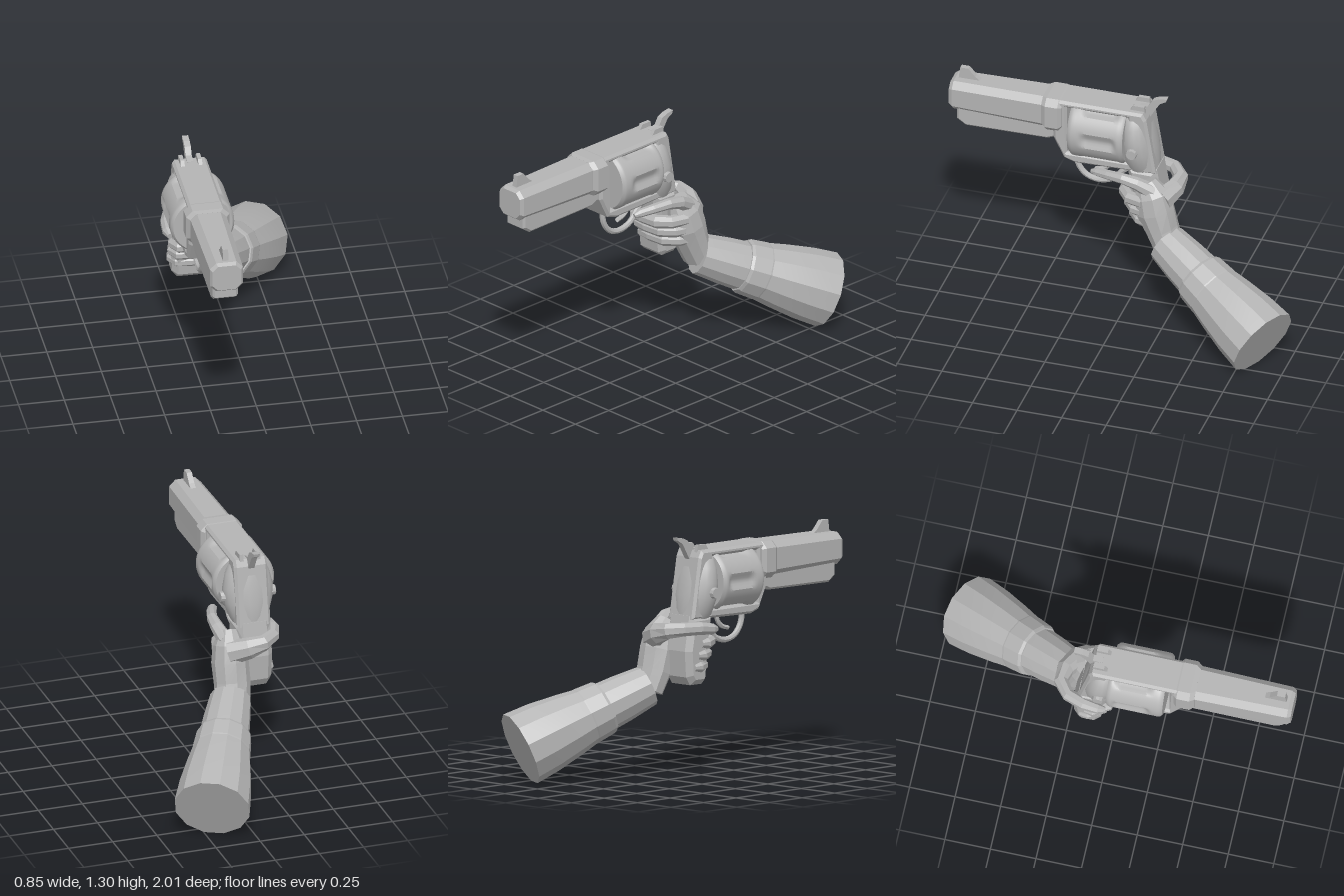
import * as THREE from 'three';
import { toCreasedNormals } from 'three/addons/utils/BufferGeometryUtils.js';

const GX = -0.255; // centre plane of the revolver
const grey = new THREE.MeshStandardMaterial({ color: 0xb4b4b4, side: THREE.DoubleSide });
grey.name = 'plain grey';

export function createModel() {
  const group = new THREE.Group();
  group.name = 'handWithRevolver';
  const V = (x, y, z) => new THREE.Vector3(x, y, z);

  function add(name, geo, crease = 0.1) {
    const mesh = new THREE.Mesh(toCreasedNormals(geo, crease), grey);
    mesh.name = name;
    group.add(mesh);
    return mesh;
  }

  // Skin a list of equal-sized rings and cap both ends
  function loft(rings) {
    const n = rings[0].length, last = (rings.length - 1) * n, idx = [];
    for (let i = 0; i < rings.length - 1; i++) {
      for (let j = 0; j < n; j++) {
        const a = i * n + j, b = i * n + (j + 1) % n;
        idx.push(a, b, b + n, a, b + n, a + n);
      }
    }
    for (let j = 1; j < n - 1; j++) idx.push(0, j + 1, j, last, last + j, last + j + 1);
    const geo = new THREE.BufferGeometry().setFromPoints(rings.flat());
    geo.setIndex(idx);
    return geo.toNonIndexed();
  }

  // Oval tube: rows of [x, y, z, half size along ref, half size across]
  function limb(rows, ref, sides = 8) {
    const c = rows.map(r => V(r[0], r[1], r[2]));
    return loft(rows.map((r, i) => {
      const t = c[Math.min(i + 1, c.length - 1)].clone().sub(c[Math.max(i - 1, 0)]).normalize();
      const s = ref.clone().addScaledVector(t, -ref.dot(t)).normalize();
      const u = t.clone().cross(s);
      return Array.from({ length: sides }, (_, j) => {
        const q = (j + 0.5) / sides * Math.PI * 2;
        return c[i].clone().addScaledVector(s, Math.cos(q) * r[3]).addScaledVector(u, Math.sin(q) * r[4]);
      });
    }));
  }

  // Side profile in (z, y), extruded across x with a small bevel
  function slab(profile, width, bevel = 0, hole = null, x = GX) {
    const pts = a => a.map(p => new THREE.Vector2(p[0], p[1]));
    const shape = new THREE.Shape(pts(profile));
    if (hole) shape.holes.push(new THREE.Path(pts(hole)));
    const depth = width - 2 * bevel;
    const geo = new THREE.ExtrudeGeometry(shape, {
      depth, bevelEnabled: bevel > 0, bevelSize: bevel, bevelThickness: bevel, bevelOffset: -bevel, bevelSegments: 1,
    });
    return geo.translate(0, 0, -depth / 2).rotateY(-Math.PI / 2).translate(x, 0, 0);
  }

  // Chamfered bar along z: rows of [z, half width, bottom, top, chamfer]
  const bar = rows => loft(rows.map(([z, w, b, t, c]) => [
    [w, b + c], [w, t - c], [w - c, t], [c - w, t], [-w, t - c], [-w, b + c], [c - w, b], [w - c, b],
  ].map(([x, y]) => V(GX + x, y, z))));

  // Barrel, collar and underlug
  add('barrel', bar([[0.4, 0.1, 1.045, 1.235, 0.035], [0.98, 0.09, 1.055, 1.23, 0.035], [1, 0.078, 1.07, 1.218, 0.03]]));
  add('barrelCollar', bar([[0.36, 0.1, 1.05, 1.235, 0.035], [0.38, 0.118, 1.04, 1.24, 0.035],
    [0.45, 0.118, 1.04, 1.24, 0.035], [0.475, 0.1, 1.05, 1.235, 0.035]]));
  add('underlug', slab([[0.38, 1.08], [0.38, 1.0], [0.45, 0.97], [0.91, 0.965], [0.96, 1.0], [0.96, 1.08]], 0.14, 0.012));
  add('frontSight', slab([[0.83, 1.22], [0.87, 1.25], [0.91, 1.295], [0.955, 1.295], [0.965, 1.22]], 0.03));

  // Frame with the opening for the cylinder
  add('frame', slab(
    [[0.41, 1.238], [-0.09, 1.238], [-0.11, 1.2], [-0.165, 0.87], [0.29, 0.86], [0.35, 0.88], [0.41, 1.0]],
    0.19, 0.014, [[0.335, 0.92], [0.335, 1.2], [-0.005, 1.2], [-0.005, 0.92]]));
  add('recoilShield', limb([
    [GX, 0.85, -0.085, 0.08, 0.08], [GX, 0.9, -0.07, 0.11, 0.095], [GX, 0.98, -0.055, 0.135, 0.1],
    [GX, 1.06, -0.045, 0.14, 0.095], [GX, 1.14, -0.035, 0.122, 0.085], [GX, 1.2, -0.03, 0.09, 0.07], [GX, 1.225, -0.03, 0.05, 0.05],
  ], V(1, 0, 0), 20), 0.7);

  // Fluted cylinder: six scoops pressed in towards the rear end
  const drum = new THREE.CylinderGeometry(0.175, 0.175, 0.31, 72, 24).rotateX(Math.PI / 2);
  const p = drum.attributes.position;
  for (let i = 0; i < p.count; i++) {
    const x = p.getX(i), y = p.getY(i), z = p.getZ(i);
    const r = Math.hypot(x, y);
    if (r < 0.1) continue;
    const scoop = Math.max(0, Math.cos(Math.atan2(y, x) * 6) - 0.1) / 0.9;
    const along = THREE.MathUtils.smoothstep(z, -0.13, -0.09) * (1 - THREE.MathUtils.smoothstep(z, 0.05, 0.1));
    const edge = Math.max(0, Math.abs(z) - 0.14) * 0.9;
    const k = (r - 0.022 * scoop * along - edge) / r;
    p.setXY(i, x * k, y * k);
  }
  add('cylinder', drum.translate(GX, 1.06, 0.157), 0.6);

  // Rear sights, hammer and side screws
  for (const s of [-1, 1]) {
    add('rearSight', slab([[0.0, 1.22], [-0.03, 1.265], [-0.09, 1.265], [-0.1, 1.2]], 0.022, 0, null, GX + s * 0.048));
    add('sideScrew', new THREE.CylinderGeometry(0.028, 0.032, 0.03, 10).rotateZ(-s * Math.PI / 2)
      .translate(GX + s * 0.14, 1.01, -0.045));
  }
  add('hammer', slab([[-0.04, 1.18], [-0.05, 1.24], [-0.1, 1.25], [-0.125, 1.29], [-0.16, 1.305], [-0.205, 1.312],
    [-0.2, 1.295], [-0.165, 1.275], [-0.14, 1.235], [-0.12, 1.2], [-0.1, 1.17]], 0.034));

  // Trigger guard and trigger
  const path = pts => new THREE.CatmullRomCurve3(pts.map(([z, y]) => V(GX, y, z)));
  add('triggerGuard', new THREE.TubeGeometry(path([[0.305, 0.88], [0.3, 0.81], [0.255, 0.745], [0.18, 0.722],
    [0.1, 0.745], [0.05, 0.8], [0.0, 0.84]]), 20, 0.016, 8), 0.7);
  add('trigger', new THREE.TubeGeometry(path([[0.11, 0.88], [0.12, 0.83], [0.15, 0.8], [0.2, 0.785]]), 8, 0.013, 6), 0.7);

  // Grip
  add('grip', slab([[0.0, 0.89], [-0.02, 0.75], [-0.045, 0.54], [-0.07, 0.515], [-0.16, 0.515], [-0.19, 0.56],
    [-0.2, 0.7], [-0.165, 0.89]], 0.195, 0.03));

  // Palm and back of the hand
  add('palm', limb([
    [-0.1, 0.48, -0.26, 0.095, 0.08], [-0.11, 0.58, -0.22, 0.1, 0.09], [-0.11, 0.69, -0.18, 0.1, 0.108],
    [-0.11, 0.78, -0.16, 0.085, 0.1], [-0.12, 0.85, -0.125, 0.05, 0.06],
  ], V(1, 0, 0), 10));

  // Three fingers wrapped round the front of the grip
  const up = V(0, 1, 0);
  for (let i = 0; i < 3; i++) {
    const y = 0.745 - i * 0.062, z = -i * 0.028, r = 0.036 - i * 0.001;
    add('wrappedFinger', limb([
      [-0.06, y + 0.01, z - 0.13, r, r], [-0.085, y + 0.008, z - 0.045, r, r], [-0.15, y + 0.004, z + 0.002, r, r],
      [-0.25, y, z + 0.006, r * 0.93, r * 0.93], [-0.325, y - 0.006, z - 0.008, r * 0.93, r * 0.9],
      [-0.352, y - 0.01, z - 0.06, r * 0.85, r * 0.75], [-0.352, y - 0.01, z - 0.1, r * 0.5, r * 0.4],
    ], up));
  }

  // Index finger laid along the frame
  add('indexFinger', limb([
    [-0.09, 0.81, -0.17, 0.045, 0.045], [-0.068, 0.86, -0.09, 0.036, 0.036], [-0.068, 0.877, -0.01, 0.03, 0.03],
    [-0.095, 0.868, 0.08, 0.026, 0.028], [-0.125, 0.855, 0.15, 0.023, 0.025], [-0.135, 0.848, 0.185, 0.012, 0.013],
  ], up));

  // Thumb passing behind the grip to the far side
  add('thumb', limb([
    [-0.1, 0.76, -0.22, 0.07, 0.06], [-0.19, 0.795, -0.27, 0.06, 0.05], [-0.27, 0.815, -0.275, 0.045, 0.04],
    [-0.34, 0.825, -0.22, 0.038, 0.036], [-0.372, 0.825, -0.13, 0.036, 0.034],
    [-0.38, 0.815, -0.05, 0.032, 0.028], [-0.375, 0.81, -0.01, 0.016, 0.014],
  ], up));

  // Sleeve: rows of [position along the forearm, radius]
  const start = V(-0.09, 0.5, -0.25), end = V(0.235, 0.19, -0.89);
  const sleeve = rows => limb(rows.map(([t, r]) => [...start.clone().lerp(end, t).toArray(), r, r]), up, 12);
  add('innerSleeve', sleeve([[0, 0.112], [0.2, 0.128], [0.38, 0.136]]));
  add('cuff', sleeve([[0.33, 0.142], [0.35, 0.15], [0.48, 0.158], [0.5, 0.156]]));
  add('outerSleeve', sleeve([[0.49, 0.157], [0.62, 0.175], [0.82, 0.197], [1, 0.206]]));
  return group;
}
